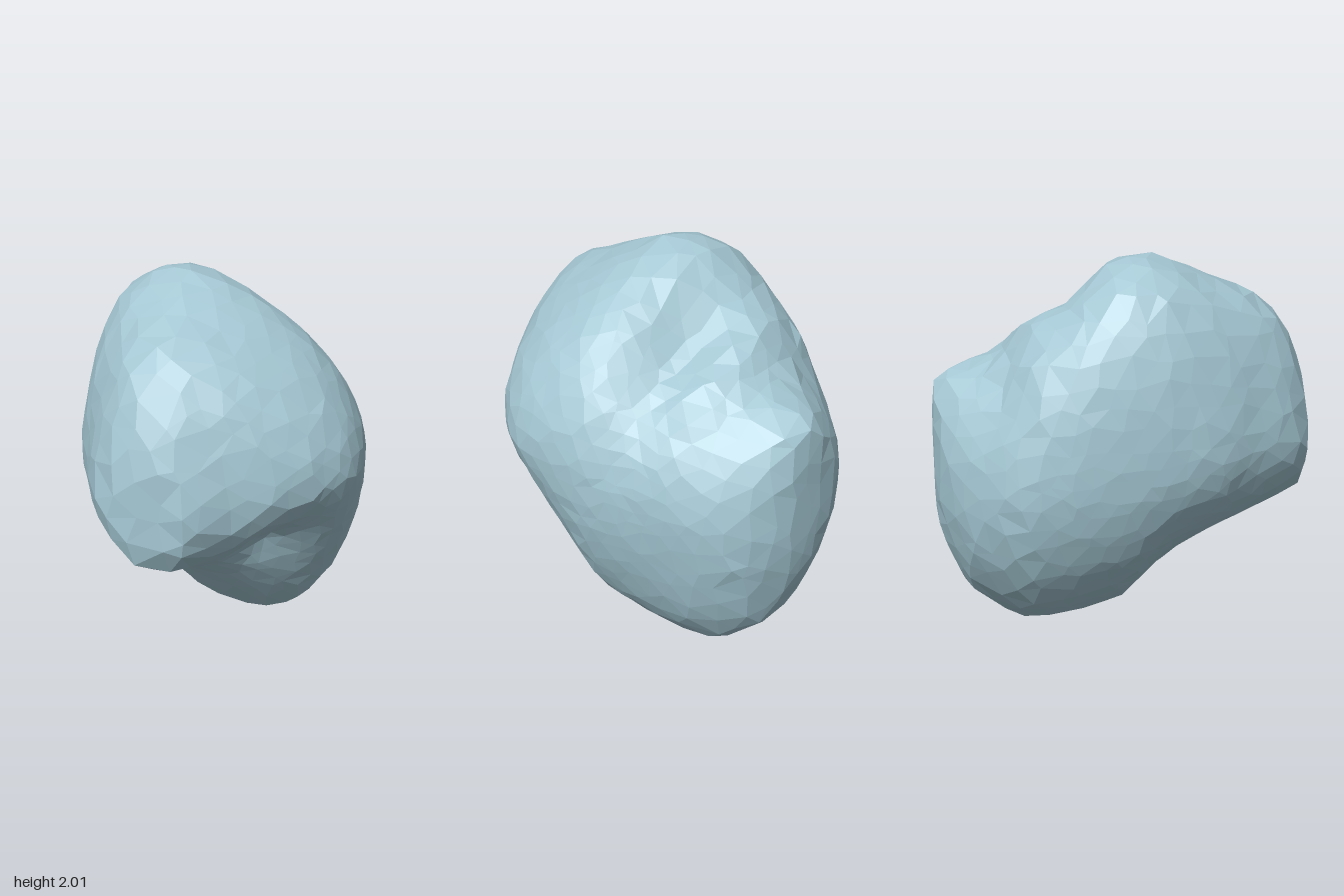
import * as THREE from 'three';
import { mergeVertices } from 'three/addons/utils/BufferGeometryUtils.js';

// Cross-sections from back to front:
// z, left edge, right edge, bottom, top, height of widest point, x of top, x of bottom
const SECTIONS = [
  [-0.955, -0.19, 0.14, 0.60, 1.35, 0.95, 0.0, 0.0],
  [-0.90, -0.33, 0.28, 0.44, 1.41, 0.92, 0.0, 0.03],
  [-0.80, -0.47, 0.41, 0.20, 1.44, 0.90, 0.0, 0.06],
  [-0.62, -0.64, 0.51, 0.06, 1.51, 0.92, -0.04, 0.10],
  [-0.50, -0.69, 0.56, -0.005, 1.70, 0.97, -0.13, 0.10],
  [-0.30, -0.725, 0.63, 0.005, 1.79, 1.02, -0.24, 0.11],
  [-0.10, -0.735, 0.70, 0.05, 1.97, 1.06, -0.23, 0.13],
  [0.00, -0.735, 0.72, 0.08, 2.005, 1.08, -0.21, 0.15],
  [0.15, -0.73, 0.73, 0.26, 2.01, 1.10, -0.21, 0.12],
  [0.30, -0.71, 0.73, 0.42, 1.95, 1.10, -0.20, 0.03],
  [0.45, -0.67, 0.69, 0.53, 1.88, 1.10, -0.18, -0.07],
  [0.60, -0.59, 0.58, 0.60, 1.83, 1.09, -0.17, -0.13],
  [0.75, -0.52, 0.39, 0.66, 1.74, 1.07, -0.17, -0.15],
  [0.85, -0.46, 0.18, 0.69, 1.60, 1.05, -0.17, -0.16],
  [0.92, -0.39, 0.09, 0.72, 1.42, 1.03, -0.17, -0.17],
  [0.955, -0.30, 0.02, 0.80, 1.28, 1.02, -0.15, -0.15],
];

// Hollows pressed into the surface: x, y, z, radius, depth
const DENTS = [
  [0.12, 1.72, -0.28, 0.26, 0.10],
  [0.40, 1.48, -0.28, 0.22, 0.05],
  [0.60, 1.15, -0.22, 0.24, 0.03],
  [0.30, 0.74, 0.50, 0.24, 0.12],
  [0.52, 0.92, 0.50, 0.20, 0.04],
];

const CENTRE = new THREE.Vector3(0, 1, 0);

function sectionAt(z) {
  let i = 0;
  while (i < SECTIONS.length - 2 && SECTIONS[i + 1][0] < z) i++;
  const a = SECTIONS[i], b = SECTIONS[i + 1];
  const t = (z - a[0]) / (b[0] - a[0]);
  return a.map((v, k) => v + (b[k] - v) * t);
}

// True inside the sheared oval section at this depth
function inside(p) {
  if (Math.abs(p.z) > 0.955) return false;
  const [, x0, x1, y0, y1, mid, topX, botX] = sectionAt(p.z);
  const v = (p.y - mid) / (p.y > mid ? y1 - mid : mid - y0);
  const cx = (x0 + x1) / 2;
  const shift = ((p.y > mid ? topX : botX) - cx) * v * v;
  const u = (p.x - cx - shift) / ((x1 - x0) / 2);
  // the right flank is more angular, the left one only towards the front
  const power = u > 0 ? 1.75 : 2 - 0.4 * Math.max(0, p.z);
  return Math.abs(u) ** power + Math.abs(v) ** power < 1;
}

// Distance from the centre to the surface along a direction
function reach(dir) {
  const p = new THREE.Vector3();
  let lo = 0, hi = 1.6;
  for (let i = 0; i < 24; i++) {
    const r = (lo + hi) / 2;
    if (inside(p.copy(dir).multiplyScalar(r).add(CENTRE))) lo = r;
    else hi = r;
  }
  return lo;
}

// Small seeded generator for uneven facets
function seeded(seed) {
  return () => {
    seed = (seed * 16807) % 2147483647;
    return seed / 2147483647 - 0.5;
  };
}

export function createModel() {
  const group = new THREE.Group();
  group.name = 'rock';

  let geo = new THREE.IcosahedronGeometry(1, 8);
  geo.deleteAttribute('uv');
  geo.deleteAttribute('normal');
  geo = mergeVertices(geo, 1e-4);

  const rand = seeded(77);
  const pos = geo.attributes.position;
  const dir = new THREE.Vector3(), p = new THREE.Vector3(), c = new THREE.Vector3();
  for (let i = 0; i < pos.count; i++) {
    dir.fromBufferAttribute(pos, i);
    dir.x += rand() * 0.07;
    dir.y += rand() * 0.07;
    dir.z += rand() * 0.07;
    dir.normalize();
    let r = reach(dir);
    p.copy(dir).multiplyScalar(r).add(CENTRE);
    for (const [x, y, z, size, depth] of DENTS) {
      const d = p.distanceTo(c.set(x, y, z)) / size;
      r -= depth * Math.exp(-d * d);
    }
    r *= 1 + rand() * 0.008;
    p.copy(dir).multiplyScalar(r).add(CENTRE);
    pos.setXYZ(i, p.x, p.y, p.z);
  }

  // Stand it on the ground
  geo.computeBoundingBox();
  geo.translate(0, -geo.boundingBox.min.y, 0);
  geo.computeVertexNormals();

  const mesh = new THREE.Mesh(
    geo,
    new THREE.MeshStandardMaterial({ color: 0xa5c8d4, flatShading: true })
  );
  mesh.name = 'boulder';
  group.add(mesh);
  return group;
}
